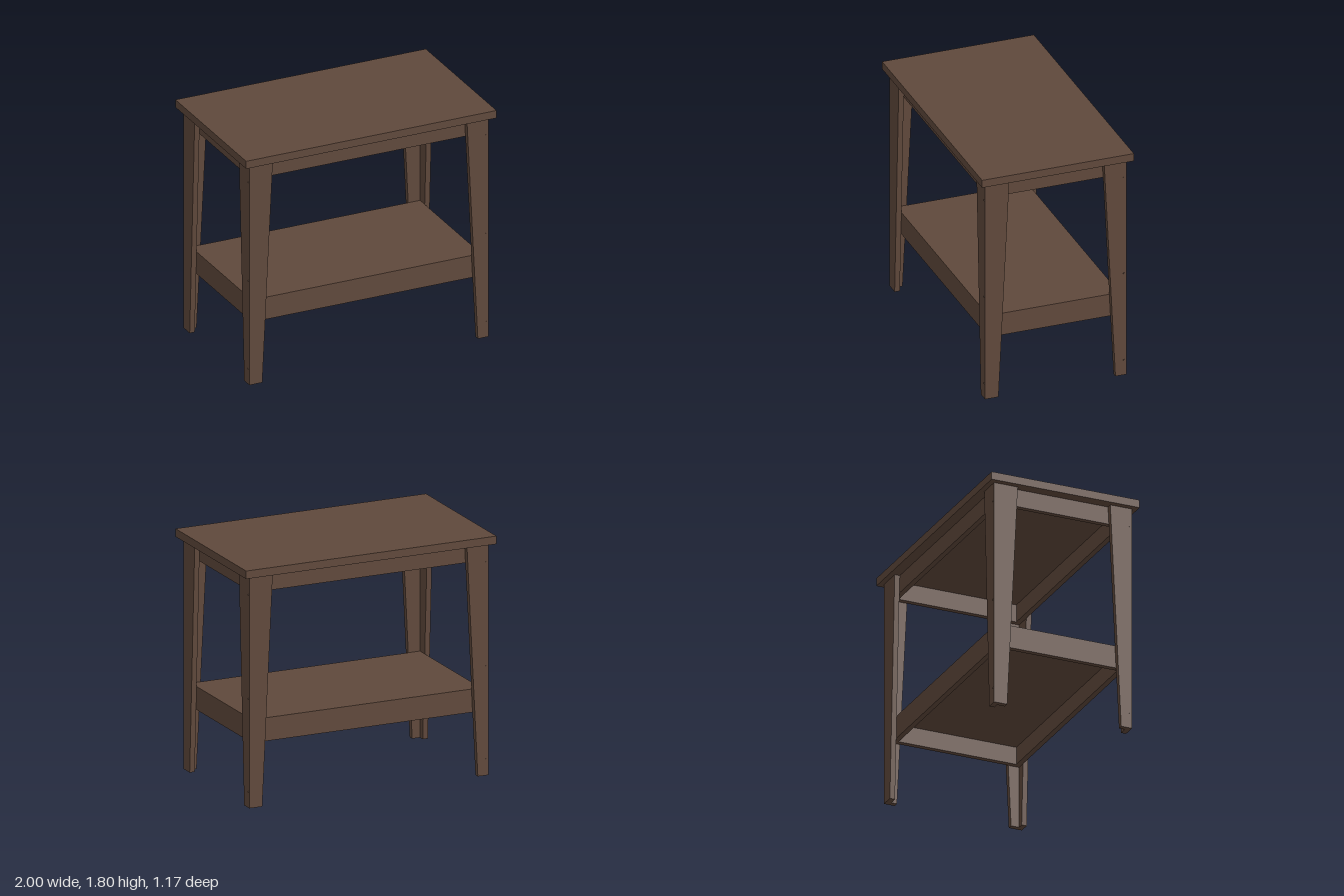
import * as THREE from 'three';

const wood = new THREE.MeshStandardMaterial({ color: 0x5f483b });
wood.name = 'brown wood';

const T = 0.04;            // board thickness
const X = 0.955, Z = 0.545; // outer leg corner
const LEG_H = 1.74;

function add(parent, name, geometry) {
  const mesh = new THREE.Mesh(geometry, wood);
  mesh.name = name;
  parent.add(mesh);
  return mesh;
}

function board(parent, name, w, h, d, x, y, z) {
  add(parent, name, new THREE.BoxGeometry(w, h, d)).position.set(x, y, z);
}

// Tapered board: straight outer edge at x = 0, sloped inner edge towards -x, thickness towards -z
function taperedBoard(start, bottom, top) {
  const shape = new THREE.Shape([
    new THREE.Vector2(-bottom, 0), new THREE.Vector2(-start, 0),
    new THREE.Vector2(-start, LEG_H), new THREE.Vector2(-top, LEG_H),
  ]);
  return new THREE.ExtrudeGeometry(shape, { depth: T, bevelEnabled: false }).translate(0, 0, -T);
}

// L-section leg with its outer corner at the origin, reaching towards -x and -z
function createLeg() {
  const leg = new THREE.Group();
  leg.name = 'leg';
  add(leg, 'faceBoard', taperedBoard(0, 0.085, 0.172));
  // the wider side board butts against the back of the face board
  const side = taperedBoard(T, 0.103, 0.187);
  side.rotateY(-Math.PI / 2).scale(-1, 1, 1);
  // mirroring reverses the corners, so swap them back
  const p = side.attributes.position;
  for (let i = 0; i < p.count; i += 3) {
    const a = new THREE.Vector3().fromBufferAttribute(p, i + 1);
    const b = new THREE.Vector3().fromBufferAttribute(p, i + 2);
    p.setXYZ(i + 1, b.x, b.y, b.z);
    p.setXYZ(i + 2, a.x, a.y, a.z);
  }
  // keep the board on the inner side of the corner
  side.computeBoundingBox();
  side.translate(-side.boundingBox.max.x, 0, 0);
  if (side.boundingBox.max.z > 0) side.scale(1, 1, 1).translate(0, 0, -side.boundingBox.max.z - T);
  side.computeVertexNormals();
  add(leg, 'sideBoard', side);
  // small screw heads through the face board
  for (const y of [0.12, 0.82, 1.6]) {
    const screw = add(leg, 'screwHead', new THREE.CylinderGeometry(0.006, 0.006, 0.006, 8));
    screw.rotation.x = Math.PI / 2;
    screw.position.set(-0.02, y, 0.001);
  }
  return leg;
}

// Four rails meeting at the corners of a frame set behind the legs
function createFrame(name, y0, y1) {
  const frame = new THREE.Group();
  frame.name = name;
  const h = y1 - y0, y = (y0 + y1) / 2;
  const fx = X - T, fz = Z - T;
  for (const s of [-1, 1]) {
    board(frame, 'longRail', 2 * fx, h, T, 0, y, s * (fz - T / 2));
    board(frame, 'shortRail', T, h, 2 * (fz - T), s * (fx - T / 2), y, 0);
  }
  return frame;
}

export function createModel() {
  const table = new THREE.Group();
  table.name = 'sideTable';

  board(table, 'tableTop', 2, 0.06, 1.17, 0, 1.77, 0);
  table.add(createFrame('apron', 1.605, LEG_H));
  table.add(createFrame('shelfFrame', 0.475, 0.61));
  board(table, 'shelf', 2 * (X - T), 0.04, 2 * (Z - T), 0, 0.63, 0);

  // legs turn a quarter from corner to corner
  [[1, 1], [1, -1], [-1, -1], [-1, 1]].forEach(([sx, sz], i) => {
    const leg = createLeg();
    leg.position.set(sx * X, 0, sz * Z);
    leg.rotation.y = i * Math.PI / 2;
    table.add(leg);
  });
  return table;
}
